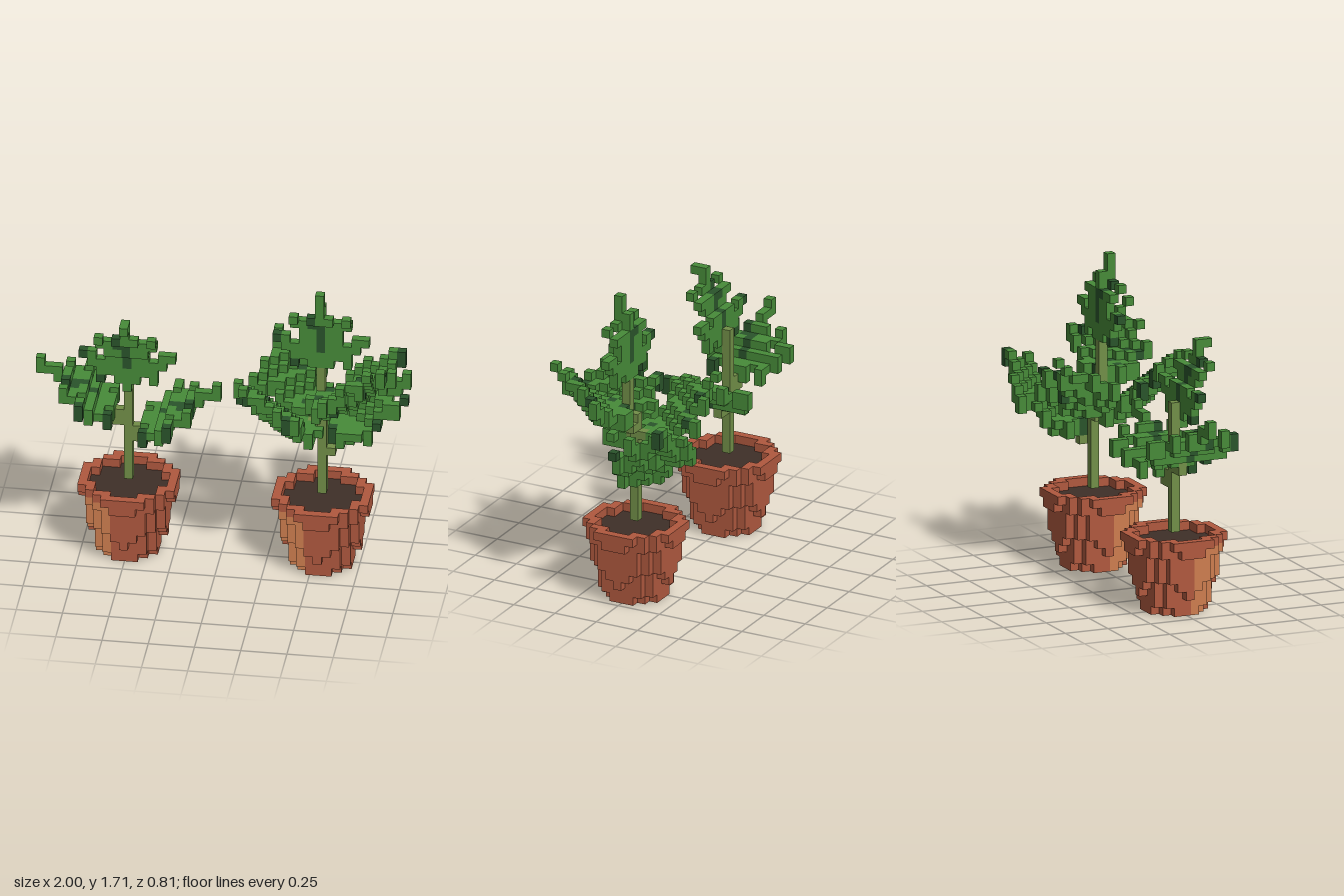
import * as THREE from 'three';

const V = 2 / 42; // edge length of one cube
const HEX = {
  terracotta: 0xb0593f, glazeHighlight: 0xce7e50, soil: 0x3f2f28,
  stemOlive: 0x728f48, leafGreen: 0x478b39, leafShade: 0x2a542b,
};
const materials = {};
for (const name in HEX) {
  materials[name] = new THREE.MeshStandardMaterial({ color: HEX[name] });
  materials[name].name = name;
}

// Distances from the midrib that are filled, row by row from the leaf tip
const LEAF = [
  [0], [0], [0], [0, 1, 3], [0, 1, 2, 3], [0, 1, 2], [0, 1, 2, 4, 5],
  [0, 1, 2, 3, 4], [0, 1, 2, 3], [0, 1, 3], [0],
];

// Dark vein and a few dark lobes, by row and signed distance from the midrib
function leafColour(row, w) {
  const vein = w === 0 && row >= 4 && row <= 7;
  const lobe = (w === -1 && (row === 3 || row === 4)) || (w === -5 && row === 6) || (w === -3 && row === 9);
  return vein || lobe ? 'leafShade' : 'leafGreen';
}

// The six faces of a cube: outward normal and two edge directions
const FACES = [];
for (let a = 0; a < 3; a++) {
  for (const s of [1, -1]) {
    const n = new THREE.Vector3().setComponent(a, s);
    const u = new THREE.Vector3().setComponent((a + 1) % 3, 1);
    FACES.push({ n, u, v: new THREE.Vector3().crossVectors(n, u) });
  }
}

// Repeatable scatter value in 0..1
function scatter(x, y, z) {
  const h = Math.sin(x * 12.99 + y * 78.23 + z * 37.72) * 43758.55;
  return h - Math.floor(h);
}

// A plant is a map of cubes around its own stem; the first cube in a cell stays
function makePlant() {
  const cells = new Map();
  const put = (part, colour, x, y, z) => {
    const key = `${x},${y},${z}`;
    if (!cells.has(key)) cells.set(key, { part, colour, x, y, z });
  };
  return { cells, put };
}

// Round tapering pot with a rim, filled with soil
function addPot({ put }) {
  const limits = [10, 13, 16, 17, 20, 20, 20, 26, 30]; // squared radius per layer
  limits.forEach((limit, y) => {
    for (let x = -5; x <= 5; x++) {
      for (let z = -5; z <= 5; z++) {
        const d = x * x + z * z;
        if (d > limit) continue;
        if (y >= 7 && d <= 18) {
          if (y === 7) put('soil', 'soil', x, y, z);
          continue;
        }
        const glazed = x >= -4 && x <= -2 && z > 0 && y < 8;
        put('pot', glazed ? 'glazeHighlight' : 'terracotta', x, y, z);
      }
    }
  });
}

function addStem({ put }, top, twigs) {
  for (let y = 9; y <= top; y++) put('stem', 'stemOlive', 0, y, 0);
  for (const [x, y, z] of twigs) put('stem', 'stemOlive', x, y, z);
}

// Upright leaf standing in front of the stem, leaning forward by lean(y)
function addUprightLeaf({ put }, tip, firstRow, lean) {
  for (let row = firstRow; row < LEAF.length; row++) {
    const y = tip - row;
    for (const w of LEAF[row]) {
      for (const x of w ? [-w, w] : [0]) put('uprightLeaf', leafColour(row, x), x, y, lean(y));
    }
  }
}

// Leaf reaching sideways along x and rising to its tip
function addSideLeaf({ put }, side, tipY) {
  for (let t = 0; t < 9; t++) {
    const y = Math.round(tipY - t * 0.68);
    const inner = Math.round(tipY - (t + 1) * 0.68);
    const row = Math.floor(t * 1.2);
    for (const w of LEAF[row]) {
      for (const z of w ? [-w, w] : [0]) {
        for (let h = inner; h <= y; h++) {
          put(side < 0 ? 'rightLeaf' : 'leftLeaf', leafColour(row, -z), side * (10 - t), h, z);
        }
      }
    }
  }
}

// Leaf reaching out at 45 degrees: level near the stem, then rising from bend to the tip
function addDiagonalLeaf({ put }, name, sx, sz, { reach, depth, baseY, bend, slope, skew }) {
  for (let x = -9; x <= 9; x++) {
    for (let z = -depth; z <= depth; z++) {
      const u = (sx * x + sz * z) * Math.SQRT1_2;
      const w = (sx * x - sz * z) * Math.SQRT1_2 - skew;
      const t = reach - u;
      if (t < -0.05 || u < 0.9) continue;
      const across = Math.floor(Math.abs(w) + 0.4);
      const row = Math.max(0, Math.floor((t + 0.02) * 2.15));
      const inside = row <= 7
        ? LEAF[row].includes(across)
        : across <= Math.max(1, 4 - (t - 3.7) * 0.4);
      if (!inside) continue;
      const y = Math.round(baseY + Math.max(0, u - bend) * slope);
      const colour = scatter(x, y, z) < 0.09 ? 'leafShade' : 'leafGreen';
      put(name, colour, x, y, z);
      if (scatter(z, x, y) < 0.6) put(name, colour, x, y - 1, z);
    }
  }
}

// Turn the cubes into one mesh per part and colour, keeping only outer faces
function buildPlant({ cells }, name, centre) {
  const group = new THREE.Group();
  group.name = name;
  const sets = {};
  for (const c of cells.values()) {
    const key = `${c.part}|${c.colour}`;
    const set = (sets[key] ??= { part: c.part, colour: c.colour, pos: [], nor: [] });
    for (const { n, u, v } of FACES) {
      if (cells.has(`${c.x + n.x},${c.y + n.y},${c.z + n.z}`)) continue;
      const mid = new THREE.Vector3(c.x, c.y + 0.5, c.z).addScaledVector(n, 0.5);
      for (const [a, b] of [[-1, -1], [1, -1], [1, 1], [-1, -1], [1, 1], [-1, 1]]) {
        const p = mid.clone().addScaledVector(u, a / 2).addScaledVector(v, b / 2);
        set.pos.push(p.x * V, p.y * V, p.z * V);
        set.nor.push(n.x, n.y, n.z);
      }
    }
  }
  for (const { part, colour, pos, nor } of Object.values(sets)) {
    const geo = new THREE.BufferGeometry();
    geo.setAttribute('position', new THREE.Float32BufferAttribute(pos, 3));
    geo.setAttribute('normal', new THREE.Float32BufferAttribute(nor, 3));
    const mesh = new THREE.Mesh(geo, materials[colour]);
    mesh.name = colour === 'leafShade' ? `${part}Shade` : colour === 'glazeHighlight' ? 'potHighlight' : part;
    group.add(mesh);
  }
  group.position.x = centre;
  return group;
}

export function createModel() {
  const model = new THREE.Group();
  model.name = 'pottedPlants';

  // Young plant with three leaves
  const small = makePlant();
  addPot(small);
  addStem(small, 23, [
    [1, 14, 0], [2, 14, 0], [1, 15, 0], [2, 15, 0],
    [-1, 16, 0], [-1, 17, 0], [-2, 16, 0], [-2, 17, 0],
  ]);
  addUprightLeaf(small, 31, 1, (y) => (y > 29 ? 4 : y > 27 ? 3 : y > 25 ? 2 : 1));
  small.put('uprightLeaf', 'leafGreen', 0, 30, 3);
  addSideLeaf(small, -1, 23);
  addSideLeaf(small, 1, 21);
  model.add(buildPlant(small, 'smallPlant', -0.5));

  // Older plant whose stem bends forward, with an upright leaf and four diagonal ones
  const large = makePlant();
  addPot(large);
  addStem(large, 21, [
    [1, 14, 0], [1, 14, -1], [-1, 17, 0], [-1, 18, 1], [0, 19, -1], [1, 20, 0],
    [0, 20, 1], [0, 21, 1], [0, 22, 1], [0, 23, 1], [0, 24, 1], [0, 25, 1],
  ]);
  addUprightLeaf(large, 35, 0, (y) => (y > 31 ? 2 : 1));
  large.put('uprightLeaf', 'leafGreen', 0, 32, 1);
  large.put('uprightLeaf', 'leafGreen', 0, 33, 1);
  const long = { reach: 10.6, depth: 8, skew: 0.35 };
  const short = { reach: 9.2, depth: 7, skew: -0.35 };
  addDiagonalLeaf(large, 'frontRightLeaf', -1, 1, { ...long, baseY: 18, bend: 3.3, slope: 0.95 });
  addDiagonalLeaf(large, 'backLeftLeaf', 1, -1, { ...long, baseY: 16.2, bend: 4.3, slope: 1.15 });
  addDiagonalLeaf(large, 'frontLeftLeaf', 1, 1, { ...short, baseY: 22.3, bend: 4, slope: 1.1 });
  addDiagonalLeaf(large, 'backRightLeaf', -1, -1, { ...short, baseY: 18.9, bend: 3, slope: 0.95 });
  model.add(buildPlant(large, 'largePlant', 11.5 * V));

  return model;
}
